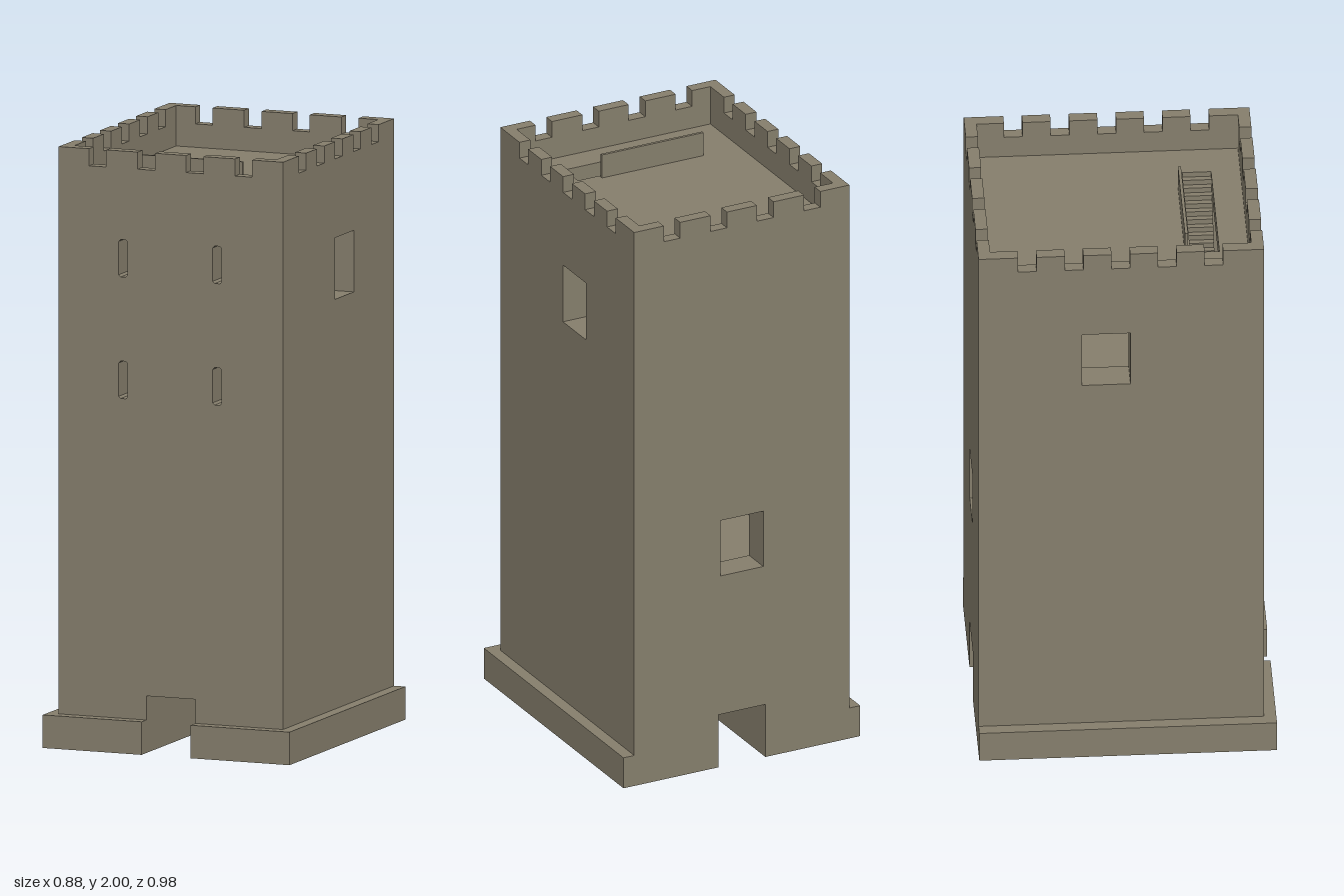
import * as THREE from 'three';

const stone = new THREE.MeshStandardMaterial({ color: 0x857e6c });
stone.name = 'stone';

const FLOOR = 1.865; // roof deck height
const DOOR = [-0.0875, 0.0875, 0.19]; // left, right, top

// Closed rectangle path, optionally with clipped corners
function rect(Kind, [a, b, c, d], r = 0) {
  const pts = r
    ? [[a + r, c], [b - r, c], [b, c + r], [b, d - r], [b - r, d], [a + r, d], [a, d - r], [a, c + r]]
    : [[a, c], [b, c], [b, d], [a, d]];
  return new Kind(pts.map(p => new THREE.Vector2(...p)));
}

function extrude(shape, depth) {
  return new THREE.ExtrudeGeometry(shape, { depth, bevelEnabled: false });
}

// Upright wall outline: optional doorway below and crenel gaps along the top
function wallShape(u0, u1, y0, y1, { gaps = [], door, holes = [], clip = 0 }) {
  const p = [[u0, y0]];
  if (door) p.push([door[0], y0], [door[0], door[2]], [door[1], door[2]], [door[1], y0]);
  p.push([u1, y0], [u1, y1]);
  for (const [a, b] of [...gaps].reverse()) p.push([b, y1], [b, 1.943], [a, 1.943], [a, y1]);
  p.push([u0, y1]);
  const shape = new THREE.Shape(p.map(q => new THREE.Vector2(...q)));
  shape.holes = holes.map(h => rect(THREE.Path, h, clip));
  return shape;
}

export function createModel() {
  const model = new THREE.Group();
  model.name = 'castleTower';
  const add = (name, geometry) => {
    const mesh = new THREE.Mesh(geometry, stone);
    mesh.name = name;
    model.add(mesh);
  };
  // Wall facing z, its back at z
  const wallZ = (name, shape, z, t) => add(name, extrude(shape, t).translate(0, 0, z));
  // Wall facing x, its outer +x side at x
  const wallX = (name, shape, x, t) => add(name, extrude(shape, t).rotateY(-Math.PI / 2).translate(x, 0, 0));
  // Horizontal slab drawn in x and z, hanging down from its top
  const slab = (name, area, top, t, holes = []) => {
    const shape = rect(THREE.Shape, area);
    shape.holes = holes.map(h => rect(THREE.Path, h));
    add(name, extrude(shape, t).rotateX(Math.PI / 2).translate(0, top, 0));
  };
  const box = (name, [x0, x1], [y0, y1], [z0, z1]) =>
    add(name, new THREE.BoxGeometry(x1 - x0, y1 - y0, z1 - z0)
      .translate((x0 + x1) / 2, (y0 + y1) / 2, (z0 + z1) / 2));

  // Openings
  const slits = [];
  for (const x of [-0.17, 0.165])
    for (const y of [1.175, 1.58]) slits.push([x - 0.016, x + 0.016, y, y + 0.125]);
  const backWindow = [[-0.08, 0.08, 0.69, 0.89]];
  const sideWindow = [[-0.15, 0.01, 1.475, 1.68]];
  const gapsZ = [[-0.292, -0.231], [-0.118, -0.056], [0.055, 0.116], [0.229, 0.29]];
  const gapsX = [-0.36, -0.206, -0.052, 0.101, 0.254].map(z => [z, z + 0.061]);

  // Outer walls rising into the battlements, with thicker liners below the roof
  const front = { door: DOOR, holes: slits, clip: 0.007 };
  const back = { door: DOOR, holes: backWindow };
  const side = { holes: sideWindow };
  const base = 0.11;
  wallZ('frontWall', wallShape(-0.4, 0.4, base, 2, { ...front, gaps: gapsZ }), 0.41, 0.04);
  wallZ('backWall', wallShape(-0.4, 0.4, base, 2, { ...back, gaps: gapsZ }), -0.49, 0.04);
  wallZ('frontWallLiner', wallShape(-0.36, 0.36, base, 1.82, front), 0.35, 0.06);
  wallZ('backWallLiner', wallShape(-0.36, 0.36, base, 1.82, back), -0.45, 0.06);
  for (const [name, outer, inner] of [['left', 0.4, 0.36], ['right', -0.36, -0.3]]) {
    wallX(name + 'Wall', wallShape(-0.45, 0.41, base, 2, { ...side, gaps: gapsX }), outer, 0.04);
    wallX(name + 'WallLiner', wallShape(-0.39, 0.35, base, 1.82, side), inner, 0.06);
  }

  // Plinth halves, hollow from below, and the passage between them
  for (const s of [-1, 1]) {
    const span = (a, b) => (s > 0 ? [a, b] : [-b, -a]);
    slab(s > 0 ? 'leftPlinth' : 'rightPlinth', [...span(0.0875, 0.44), -0.49, 0.49], base, base,
      [[...span(0.13, 0.3), -0.39, 0.35]]);
    box('passageWall', span(0.0875, 0.13), [base, 0.19], [-0.39, 0.35]);
  }
  slab('passageCeiling', [-0.3, 0.3, -0.39, 0.35], 0.23, 0.04);

  // Inner floors
  for (const y of [0.62, 1.02, 1.42]) slab('innerFloor', [-0.3, 0.3, -0.39, 0.35], y, 0.04);

  // Roof deck with its stairwell, lining and guard panel
  const well = [-0.223, 0.24, 0.21, 0.321];
  const inner = [-0.215, 0.234, 0.219, 0.314];
  slab('roofDeck', [-0.36, 0.36, -0.45, 0.41], FLOOR, 0.045, [well]);
  slab('stairwellLining', well, FLOOR, 0.06, [inner]);
  box('stairGuard', [-0.223, 0.154], [FLOOR, 1.948], [0.2, 0.21]);

  // Stair descending from the left end
  const steps = 24, run = (inner[1] - inner[0]) / steps, rise = (FLOOR - 1.42) / steps;
  const profile = [[inner[1], FLOOR - 0.06], [inner[1], FLOOR - rise]];
  for (let i = 1; i <= steps; i++) {
    const x = inner[1] - i * run;
    profile.push([x, FLOOR - i * rise]);
    profile.push([x, i < steps ? FLOOR - (i + 1) * rise : 1.41]);
  }
  const stair = new THREE.Shape(profile.map(p => new THREE.Vector2(...p)));
  add('stair', extrude(stair, inner[3] - inner[2]).translate(0, 0, inner[2]));

  return model;
}
